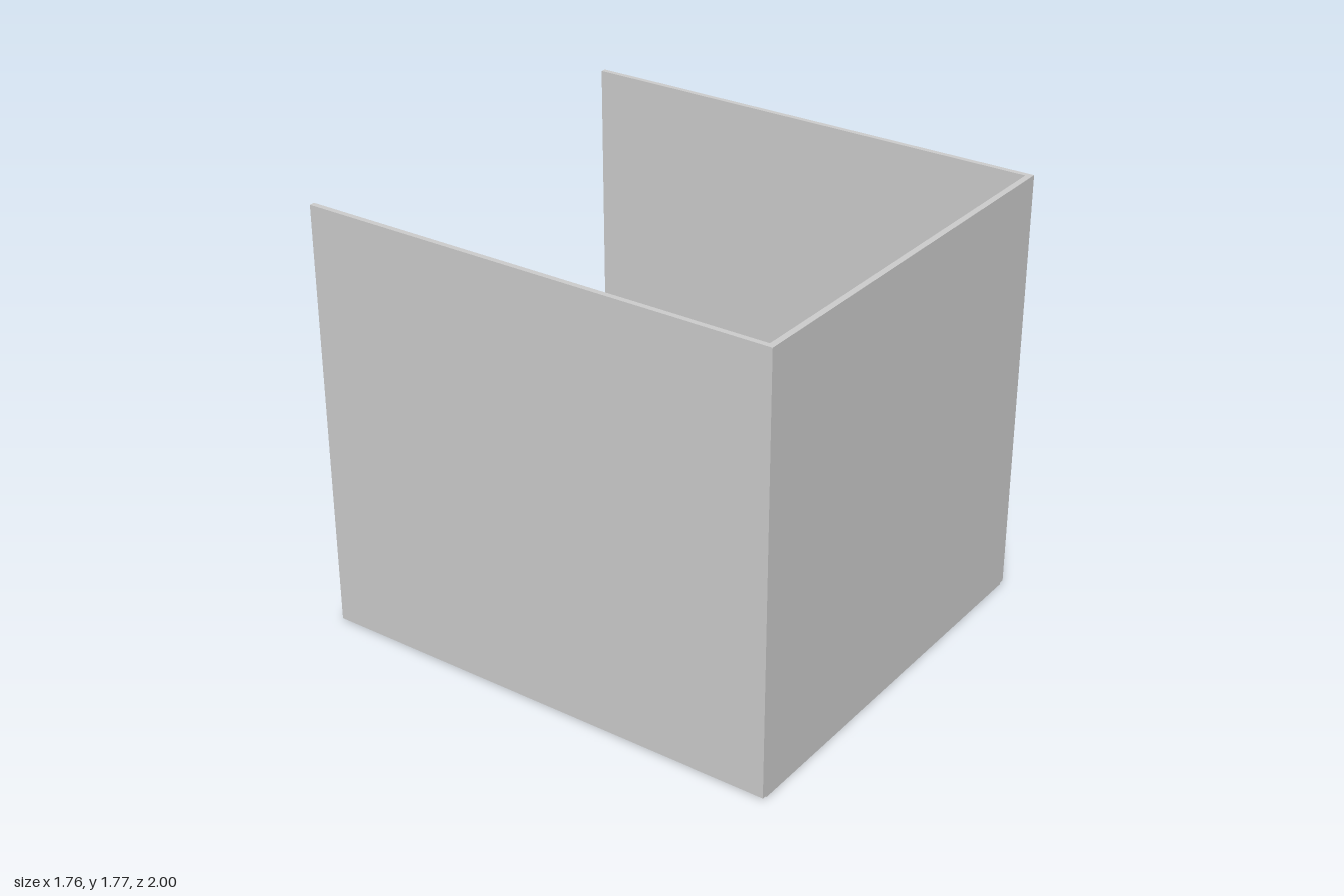
import * as THREE from 'three';

// Thin-walled box, open at the top and the back
export function createModel() {
  const group = new THREE.Group();
  const material = new THREE.MeshStandardMaterial({ color: 0xcccccc, flatShading: true });

  // Panel given by its extents along each axis
  const panel = (name, [x0, x1], [y0, y1], [z0, z1]) => {
    const mesh = new THREE.Mesh(new THREE.BoxGeometry(x1 - x0, y1 - y0, z1 - z0), material);
    mesh.position.set((x0 + x1) / 2, (y0 + y1) / 2, (z0 + z1) / 2);
    mesh.name = name;
    group.add(mesh);
  };

  const halfWidth = 0.88, height = 1.775, wall = 0.022, floorTop = 0.02;

  panel('floor', [-halfWidth + 0.01, halfWidth - 0.01], [0, floorTop], [-1, 0.975]);
  panel('frontPanel', [-halfWidth + wall, halfWidth - wall], [0, height], [0.975, 1]);

  // Side walls, raised slightly off the ground
  panel('leftPanel', [halfWidth - wall, halfWidth], [0.008, height], [-0.99, 1]);
  panel('rightPanel', [-halfWidth, -halfWidth + wall], [0.008, height], [-0.99, 1]);

  return group;
}
